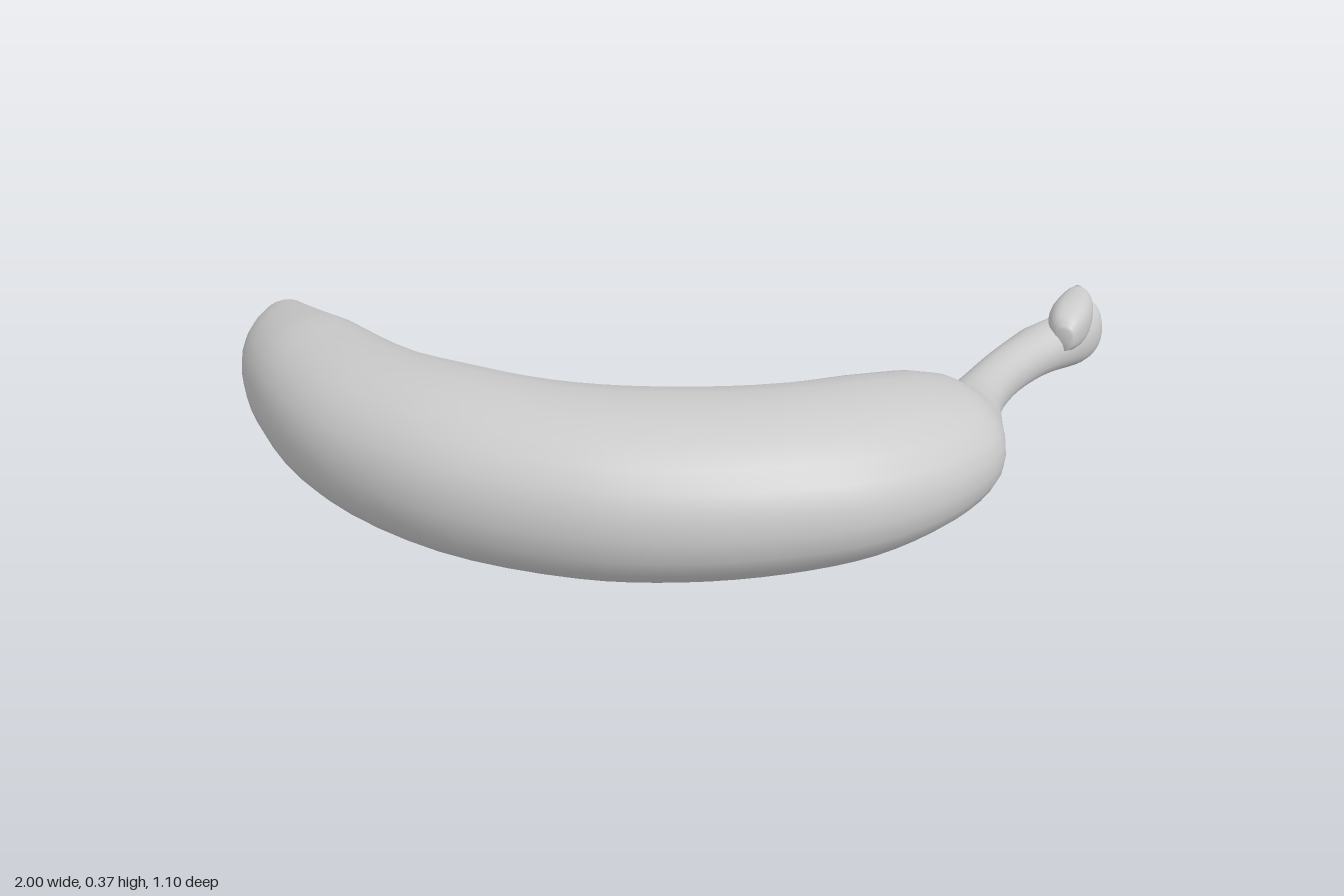
import * as THREE from 'three';

const SIDES = 24, STEPS = 4;

// Loft through sections [outerX, outerZ, innerX, innerZ, bottom, top], capped at both ends
function loft(name, sections, material, power = 0.93) {
  const curve = (a, b, c) => new THREE.CatmullRomCurve3(
    sections.map(s => new THREE.Vector3(s[a], c === undefined ? 0 : s[c], s[b])), false, 'centripetal');
  const n = (sections.length - 1) * STEPS;
  const outer = curve(0, 1), inner = curve(2, 3), heights = curve(4, 5);
  const pos = [], index = [];
  const soft = v => Math.sign(v) * Math.abs(v) ** power;

  for (let i = 0; i <= n; i++) {
    const o = outer.getPoint(i / n), k = inner.getPoint(i / n), h = heights.getPoint(i / n);
    const mid = (h.x + h.z) / 2, half = (h.z - h.x) / 2;
    for (let j = 0; j < SIDES; j++) {
      const a = j / SIDES * Math.PI * 2, c = soft(Math.cos(a)), s = soft(Math.sin(a));
      pos.push((o.x + k.x) / 2 + c * (o.x - k.x) / 2, mid + s * half, (o.z + k.z) / 2 + c * (o.z - k.z) / 2);
      if (i < n) {
        const p = i * SIDES + j, q = i * SIDES + (j + 1) % SIDES;
        index.push(p, p + SIDES, q, q, p + SIDES, q + SIDES);
      }
    }
  }
  // end caps
  for (const [row, first] of [[0, true], [n, false]]) {
    const o = outer.getPoint(row / n), k = inner.getPoint(row / n), h = heights.getPoint(row / n);
    const centre = pos.length / 3;
    pos.push((o.x + k.x) / 2, (h.x + h.z) / 2, (o.z + k.z) / 2);
    for (let j = 0; j < SIDES; j++) {
      const p = row * SIDES + j, q = row * SIDES + (j + 1) % SIDES;
      if (first) index.push(centre, p, q); else index.push(centre, q, p);
    }
  }
  const geometry = new THREE.BufferGeometry();
  geometry.setAttribute('position', new THREE.Float32BufferAttribute(pos, 3));
  geometry.setIndex(index);
  geometry.computeVertexNormals();
  const mesh = new THREE.Mesh(geometry, material);
  mesh.name = name;
  return mesh;
}

export function createModel() {
  const group = new THREE.Group();
  group.name = 'banana';
  const skin = new THREE.MeshStandardMaterial({ color: 0xcccccc });

  // curved fruit, from the blossom tip through the neck and along the stem
  group.add(loft('fruitAndStem', [
    [-0.96, -0.525, -0.895, -0.55, 0.12, 0.19],
    [-0.978, -0.48, -0.87, -0.52, 0.095, 0.215],
    [-1.0, -0.30, -0.82, -0.44, 0.06, 0.26],
    [-0.95, -0.08, -0.72, -0.30, 0.025, 0.315],
    [-0.81, 0.18, -0.56, -0.10, 0.012, 0.35],
    [-0.56, 0.40, -0.40, 0.01, 0.006, 0.37],
    [-0.26, 0.52, -0.25, 0.07, 0.004, 0.37],
    [-0.05, 0.545, -0.05, 0.09, 0.004, 0.365],
    [0.16, 0.53, 0.16, 0.07, 0.008, 0.355],
    [0.35, 0.48, 0.31, 0.01, 0.015, 0.335],
    [0.52, 0.37, 0.44, -0.05, 0.03, 0.30],
    [0.63, 0.23, 0.505, -0.07, 0.05, 0.26],
    [0.66, 0.06, 0.55, -0.08, 0.072, 0.205],
    [0.675, -0.04, 0.59, -0.14, 0.075, 0.185],
    [0.73, -0.17, 0.67, -0.27, 0.062, 0.165],
    [0.82, -0.30, 0.75, -0.39, 0.042, 0.148],
    [0.88, -0.36, 0.79, -0.44, 0.03, 0.145],
    [0.97, -0.44, 0.86, -0.475, 0.014, 0.155],
    [1.0, -0.50, 0.92, -0.535, 0.008, 0.155],
    [0.985, -0.515, 0.935, -0.545, 0.02, 0.15],
  ], skin));

  // raised lobe on the cut end of the stem
  group.add(loft('stemLobe', [
    [0.895, -0.355, 0.86, -0.375, 0.10, 0.155],
    [0.92, -0.375, 0.85, -0.40, 0.09, 0.178],
    [0.955, -0.43, 0.86, -0.455, 0.08, 0.193],
    [0.972, -0.50, 0.90, -0.52, 0.08, 0.19],
    [0.96, -0.535, 0.93, -0.55, 0.09, 0.18],
  ], skin, 0.8));

  return group;
}
